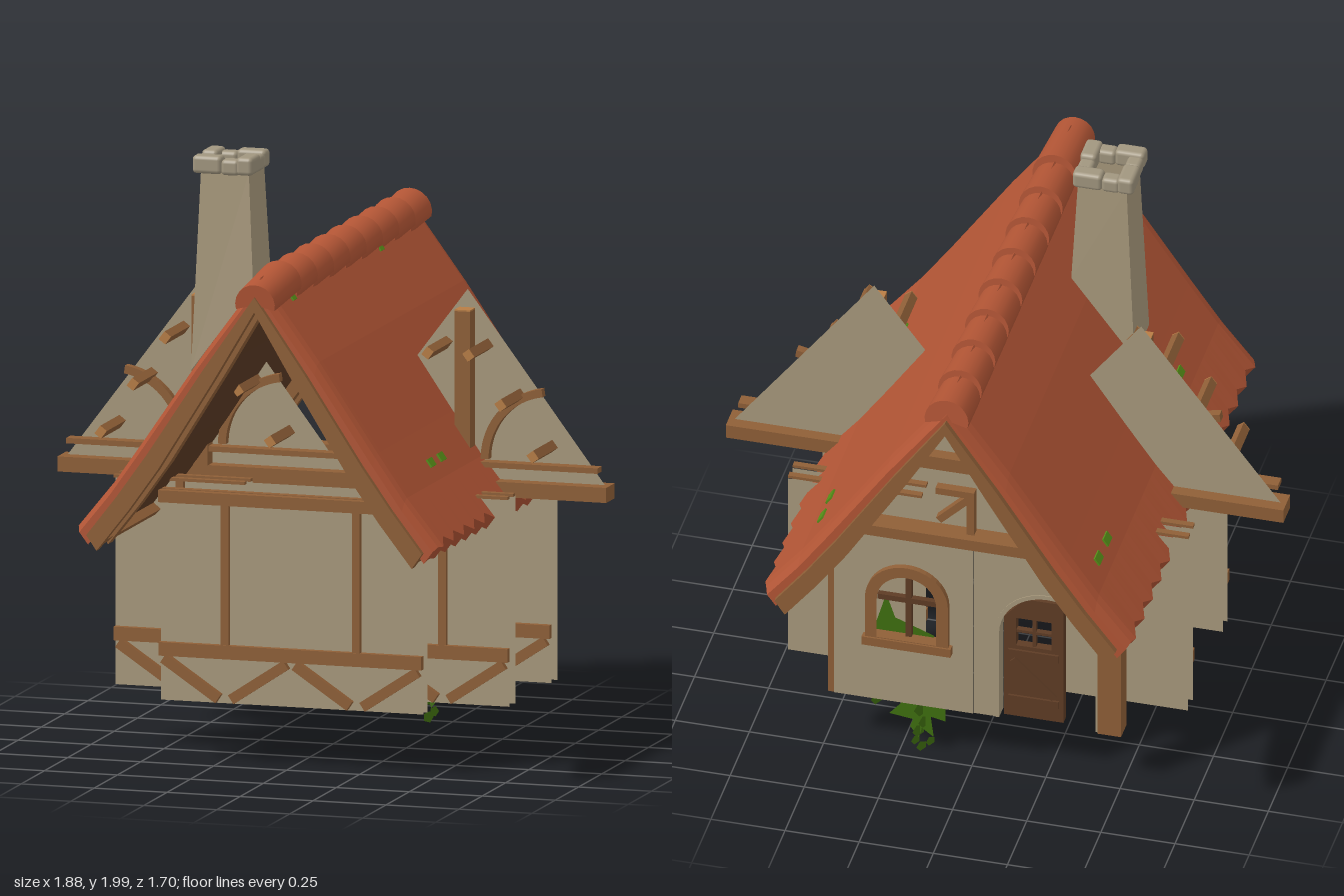
import * as THREE from 'three';
import { RoundedBoxGeometry } from 'three/addons/geometries/RoundedBoxGeometry.js';

const mat = (name, color, side = THREE.FrontSide) => {
  const m = new THREE.MeshStandardMaterial({ color, side });
  m.name = name;
  return m;
};

export function createModel() {
  const root = new THREE.Group();
  root.name = 'cottage';
  const plaster = mat('plaster', 0xa8997c, THREE.DoubleSide);
  const wood = mat('wood', 0x8f5f37);
  const darkWood = mat('dark wood', 0x5e3c25, THREE.DoubleSide);
  const endGrain = mat('end grain', 0xb87d45);
  const tile = mat('roof tile', 0xb25535, THREE.DoubleSide);
  const stone = mat('stone', 0xa1967f);
  const moss = mat('moss', 0x568f18, THREE.DoubleSide);
  const ivy = mat('ivy', 0x3f6e10, THREE.DoubleSide);

  const add = (name, geo, material, parent = root, x = 0, y = 0, z = 0) => {
    const m = new THREE.Mesh(geo, material);
    m.name = name;
    m.position.set(x, y, z);
    parent.add(m);
    return m;
  };
  // box given by its extents
  const box = (name, material, x0, x1, y0, y1, z0, z1, parent = root) =>
    add(name, new THREE.BoxGeometry(x1 - x0, y1 - y0, z1 - z0), material, parent,
      (x0 + x1) / 2, (y0 + y1) / 2, (z0 + z1) / 2);
  // beam between two points in an xy plane
  const beam = (name, ax, ay, bx, by, w, z, d, parent) => {
    const m = add(name, new THREE.BoxGeometry(Math.hypot(bx - ax, by - ay), w, d), wood, parent,
      (ax + bx) / 2, (ay + by) / 2, z);
    m.rotation.z = Math.atan2(by - ay, bx - ax);
    return m;
  };
  const poly = pts => new THREE.Shape(pts.map(p => new THREE.Vector2(...p)));
  const extrude = (shape, depth, z, steps = 1) =>
    new THREE.ExtrudeGeometry(shape, { depth, steps, bevelEnabled: false, curveSegments: 10 }).translate(0, 0, z);
  const arch = (x, hw, y0, spring) => {
    const s = new THREE.Shape();
    s.moveTo(x - hw, y0).lineTo(x - hw, spring);
    s.absarc(x, spring, hw, Math.PI, 0, true);
    s.lineTo(x + hw, y0);
    return s;
  };

  // timber-framed wall panels: two sheets, timber on the front one
  const wallPanel = (cx, z, gap, front) => {
    const g = new THREE.Group();
    g.name = 'wallPanel';
    g.position.set(cx, 0, z);
    root.add(g);
    for (const d of [0, -gap]) {
      add('plasterSheet', new THREE.PlaneGeometry(0.45, 0.69), plaster, g, 0, 0.555, d);
      if (front) box('topRail', wood, -0.225, 0.225, 0.87, 0.91, d + 0.003, d + 0.03, g);
      else box('topStrip', wood, -0.225, 0.225, 0.9, 0.91, d + 0.003, d + 0.025, g);
    }
    box('rail', wood, -0.225, 0.225, 0.36, 0.405, 0.003, 0.025, g);
    box('stud', wood, -0.013, 0.013, 0.405, 0.9, 0.003, 0.022, g);
    for (const s of [-1, 1]) beam('brace', s * 0.21, 0.352, s * 0.022, 0.227, 0.034, 0.014, 0.022, g);
  };
  for (const s of [-1, 1]) {
    wallPanel(s * 0.225, 0.44, 0.04, true);
    wallPanel(s * 0.45, 0.22, 0.06, false);
    wallPanel(s * 0.45, -0.23, 0.06, false);
  }

  // back wall: window half and door half
  const windowHalf = poly([[0, 0.21], [0.47, 0.21], [0.47, 0.88], [0, 0.88]]);
  windowHalf.holes.push(arch(0.22, 0.11, 0.47, 0.63));
  add('backWall', new THREE.ShapeGeometry(windowHalf, 10), plaster, root, 0, 0, -0.482);
  const doorHalf = new THREE.Shape();
  doorHalf.moveTo(-0.45, 0.21).lineTo(-0.415, 0.21).lineTo(-0.415, 0.55);
  doorHalf.absarc(-0.25, 0.55, 0.165, Math.PI, 0, true);
  doorHalf.lineTo(-0.085, 0.21).lineTo(0, 0.21).lineTo(0, 0.88).lineTo(-0.45, 0.88);
  add('backWall', new THREE.ShapeGeometry(doorHalf, 10), plaster, root, 0, 0, -0.478);
  const rim = arch(-0.25, 0.178, 0.21, 0.55);
  rim.lineTo(-0.087, 0.21).lineTo(-0.087, 0.55);
  rim.absarc(-0.25, 0.55, 0.163, 0, Math.PI, false);
  rim.lineTo(-0.413, 0.21);
  add('doorSurround', extrude(rim, 0.06, -0.481), plaster);

  const frame = arch(0.22, 0.14, 0.44, 0.63);
  frame.holes.push(arch(0.22, 0.1, 0.475, 0.63));
  add('windowFrame', extrude(frame, 0.07, -0.502), wood);
  box('windowSill', wood, 0.07, 0.37, 0.44, 0.472, -0.508, -0.45);
  box('windowMullion', darkWood, 0.21, 0.23, 0.475, 0.73, -0.475, -0.455);
  box('windowBar', darkWood, 0.115, 0.325, 0.61, 0.63, -0.475, -0.455);

  // door leaf with a small four-pane opening
  const leaf = poly([[-0.3, 0.215], [-0.1, 0.215], [-0.1, 0.61], [-0.17, 0.69], [-0.3, 0.69]]);
  leaf.holes.push(poly([[-0.26, 0.5], [-0.14, 0.5], [-0.14, 0.61], [-0.26, 0.61]]));
  add('door', extrude(leaf, 0.03, -0.465), darkWood);
  box('doorPaneBar', darkWood, -0.206, -0.194, 0.5, 0.61, -0.46, -0.44);
  box('doorPaneBar', darkWood, -0.26, -0.14, 0.55, 0.56, -0.46, -0.44);
  for (const y of [0.27, 0.455]) box('doorBatten', darkWood, -0.285, -0.115, y, y + 0.03, -0.473, -0.465);
  beam('doorBrace', -0.27, 0.31, -0.13, 0.445, 0.025, -0.469, 0.008, root).material = darkWood;

  // back posts, beams and gable frame
  box('cornerPost', wood, 0.415, 0.49, 0.21, 0.87, -0.479, -0.418);
  box('cornerPost', wood, -0.5, -0.42, 0.21, 0.87, -0.488, -0.418);
  for (const s of [-1, 1])
    add('postHead', new THREE.BoxGeometry(0.07, 0.14, 0.085), wood, root, s * 0.45, 0.77, -0.43);
  box('backTopBeam', wood, -0.47, 0.47, 0.88, 0.92, -0.5, -0.43);
  box('gableStud', wood, 0, 0.025, 0.92, 1.08, -0.47, -0.44);
  box('gableRail', wood, 0, 0.13, 1.065, 1.09, -0.47, -0.44);
  beam('gableBrace', 0.02, 1.06, 0.12, 0.96, 0.025, -0.455, 0.03, root);

  // cross beam and dormer gables
  box('crossBeam', wood, -0.94, 0.94, 0.865, 0.915, -0.075, 0.015);
  for (const s of [-1, 1]) {
    const g = new THREE.Group();
    g.name = 'dormerGable';
    g.position.x = s * 0.45;
    root.add(g);
    add('gablePlaster', new THREE.ShapeGeometry(poly([[-0.47, 0.915], [0.47, 0.915], [0, 1.54]])), plaster, g, 0, 0, -0.034);
    box('gableRail', wood, -0.46, 0.46, 0.96, 0.978, -0.03, 0.015, g);
    box('gablePost', wood, -0.027, 0.027, 0.915, 1.475, -0.03, 0.025, g);
    box('postTop', endGrain, -0.027, 0.027, 1.475, 1.48, -0.03, 0.025, g);
    for (const k of [-1, 1]) {
      // curved brace
      const a = new THREE.Shape();
      a.absarc(k * 0.3, 0.985, 0.245, k > 0 ? Math.PI : 0, k > 0 ? 1.72 : 1.42, k > 0);
      a.absarc(k * 0.3, 0.985, 0.218, k > 0 ? 1.72 : 1.42, k > 0 ? Math.PI : 0, k < 0);
      add('curvedBrace', extrude(a, 0.03, -0.03), wood, g);
      // projecting purlins with pale cut ends
      for (const [x, y] of [[0.29, 1.035], [0.18, 1.2], [0.07, 1.36]]) {
        const p = new THREE.Group();
        p.name = 'purlin';
        p.position.set(k * x, y, 0.074);
        p.rotation.z = -k * 0.93;
        g.add(p);
        add('purlinBar', new THREE.BoxGeometry(0.032, 0.028, 0.205), wood, p);
        add('purlinEnd', new THREE.BoxGeometry(0.032, 0.028, 0.004), endGrain, p, 0, 0, 0.104);
      }
    }
  }

  // roof layers: closed band between an outer and an inner half profile
  const band = (outer, inner) => {
    const flip = a => a.map(([x, y]) => [-x, y]);
    const back = a => a.slice().reverse();
    return poly([...back(outer), ...flip(outer.slice(1)), ...back(flip(inner.slice(1))), ...inner]);
  };
  const top = [[0, 1.695], [0.2, 1.425], [0.4, 1.132], [0.5, 0.99], [0.605, 0.86]];
  const under = [[0, 1.64], [0.175, 1.39], [0.37, 1.095], [0.47, 0.955], [0.575, 0.82]];
  const deck = [[0, 1.62], [0.165, 1.375], [0.357, 1.08], [0.455, 0.94], [0.56, 0.8]];
  const board = [[0, 1.59], [0.14, 1.355], [0.33, 1.05], [0.43, 0.91], [0.54, 0.77]];
  const tiles = extrude(band(top, under), 1.66, -0.83, 60);
  const p = tiles.attributes.position;
  const period = 1.66 / 15;
  for (let i = 0; i < p.count; i++) {
    const x = p.getX(i), y = p.getY(i), z = p.getZ(i);
    // toothed eaves and drooping ends
    const phase = ((z + 0.83) / period) % 1;
    const out = Math.abs(x) > 0.52 ? 0.02 * (1 - Math.abs(2 * phase - 1)) : 0;
    const droop = 0.035 * Math.max(0, (Math.abs(z) - 0.77) / 0.06) ** 2;
    p.setXYZ(i, x + Math.sign(x) * out, y - out * 1.2 - droop, z);
  }
  tiles.computeVertexNormals();
  add('roofTiles', tiles, tile);
  add('roofDeck', extrude(band(under, deck), 1.64, -0.82), darkWood);
  for (const s of [-1, 1]) {
    add('bargeboard', extrude(band(under, board), 0.035, s * 0.8325 - 0.0175), wood);
    add('rafter', extrude(band(deck, board), 0.05, s * 0.7 - 0.025), wood);
    add('eavesBoard', extrude(poly([[s * 0.54, 0.78], [s * 0.582, 0.815], [s * 0.565, 0.835], [s * 0.52, 0.8]]), 1.64, -0.82), wood);
  }

  // overlapping ridge tiles
  for (let i = 0; i < 9; i++) {
    const z1 = i ? 0.6 - (i - 1) * 0.175 : 0.84;
    const z0 = 0.57 - i * 0.175;
    const g = new THREE.CylinderGeometry(0.068, 0.074, z1 - z0, 12, 1, false, Math.PI * 0.42, Math.PI * 1.16);
    add('ridgeTile', g.rotateX(Math.PI / 2), tile, root, 0, 1.628, (z0 + z1) / 2).rotation.x = 0.11;
  }

  // open chimney shaft, tapered, cut to the roof slope
  const shaft = new THREE.CylinderGeometry(Math.SQRT1_2, Math.SQRT1_2, 1, 4, 1, true).rotateY(Math.PI / 4).toNonIndexed();
  const c = shaft.attributes.position;
  for (let i = 0; i < c.count; i++) {
    const x = Math.sign(c.getX(i)), z = Math.sign(c.getZ(i));
    if (c.getY(i) > 0) c.setXYZ(i, -0.273 + x * 0.082, 1.95, 0.225 + z * 0.082);
    else c.setXYZ(i, x < 0 ? -0.385 : -0.172, x < 0 ? 1.285 : 1.57, 0.225 + z * 0.096);
  }
  shaft.computeVertexNormals();
  add('chimneyShaft', shaft, plaster);
  const cap = new THREE.Group();
  cap.name = 'chimneyCap';
  cap.position.set(-0.278, 1.968, 0.225);
  root.add(cap);
  for (let i = 0; i < 4; i++) {
    const side = new THREE.Group();
    side.name = 'capSide';
    side.rotation.y = i * Math.PI / 2;
    cap.add(side);
    add('capStone', new RoundedBoxGeometry(0.1, 0.06, 0.056, 2, 0.014), stone, side, -0.052, 0.002, 0.076);
    add('capStone', new RoundedBoxGeometry(0.062, 0.053, 0.052, 2, 0.014), stone, side, 0.026, -0.004, 0.074);
  }

  // moss flecks lying on the roof
  for (const s of [-1, 1])
    for (const z of [0.41, 0.3, -0.54, -0.65]) {
      const m = add('moss', new THREE.BoxGeometry(0.03, 0.008, 0.05), moss, root, s * 0.466, 1.042, z);
      m.rotation.z = -s * 0.96;
    }
  for (const z of [0.64, -0.3])
    add('moss', new THREE.BoxGeometry(0.03, 0.008, 0.035), moss, root, 0.064, 1.612, z).rotation.z = -0.93;

  // ivy trailing behind and below the window
  add('ivy', new THREE.ShapeGeometry(poly([[0.3, 0.62], [0.27, 0.53], [0.14, 0.48], [0.12, 0.3], [0.05, 0.2],
    [0.1, 0.19], [0.1, 0.14], [0.15, 0.15], [0.14, 0.07], [0.18, 0.1], [0.19, 0.06], [0.22, 0.1],
    [0.21, 0.13], [0.29, 0.14], [0.24, 0.2], [0.3, 0.32], [0.34, 0.48]])), ivy, root, 0, 0, -0.455);
  for (const [x, y, r] of [[0.15, 0.055, 0.018], [0.18, 0.03, 0.02], [0.2, 0.05, 0.018], [0.33, 0.195, 0.024],
    [0.19, 0.09, 0.024], [0.17, 0.13, 0.024], [0.18, 0.18, 0.03]])
    add('ivyLeaf', new THREE.CircleGeometry(r, 5), ivy, root, x, y, -0.458).rotation.y = 0.8;

  return root;
}
